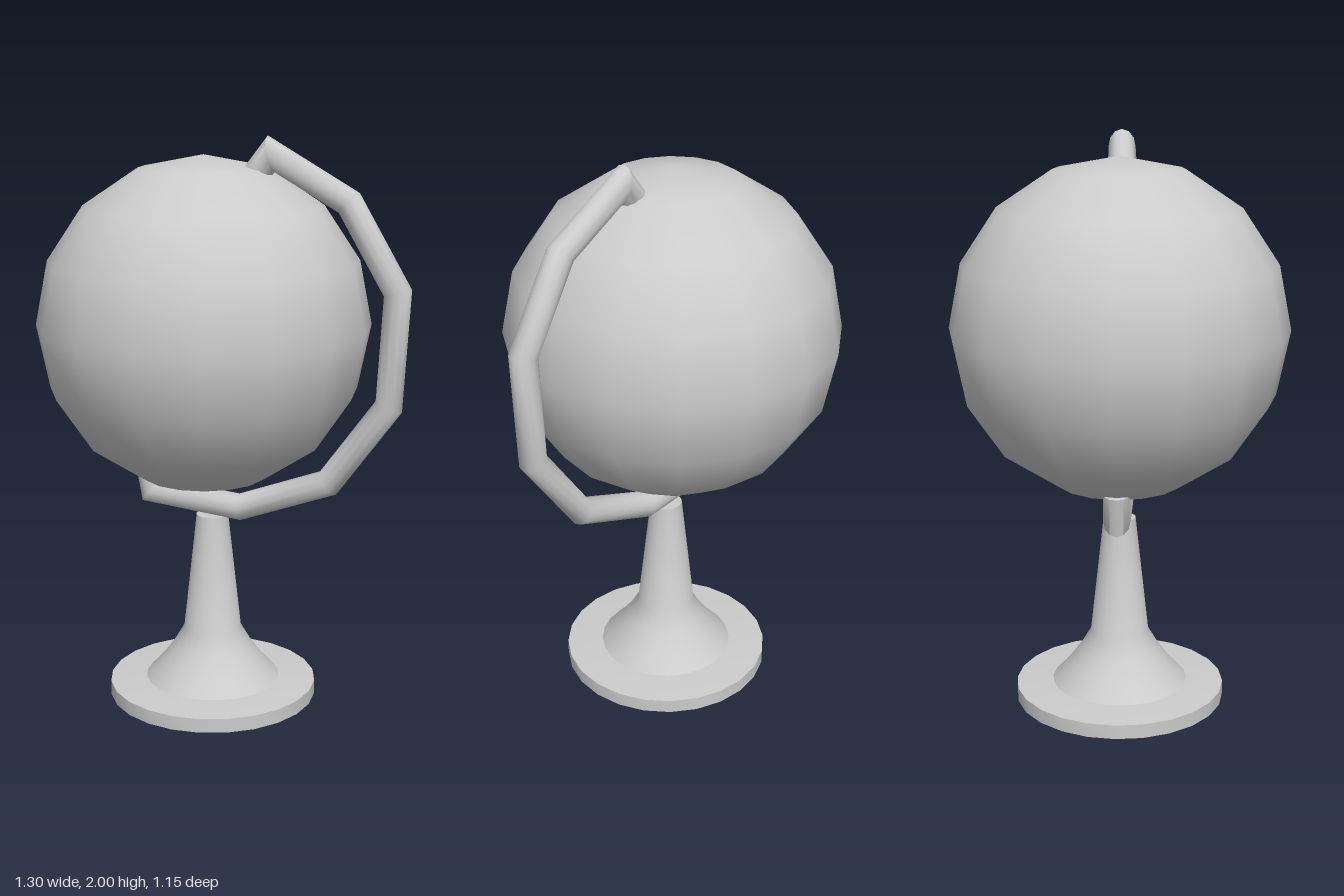
import * as THREE from 'three';
import { toCreasedNormals } from 'three/addons/utils/BufferGeometryUtils.js';

const V = (x, y) => new THREE.Vector2(x, y);

// Round bar with mitred corners along a polyline in the xy plane
function mitredBar(path, radius, sides) {
  const dirs = path.slice(1).map((p, i) => p.clone().sub(path[i]).normalize());
  const left = (d) => V(-d.y, d.x);
  const pos = [], index = [];
  path.forEach((p, i) => {
    const a = left(dirs[Math.max(i - 1, 0)]);
    const b = left(dirs[Math.min(i, dirs.length - 1)]);
    const miter = a.clone().add(b).divideScalar(1 + a.dot(b));
    for (let j = 0; j < sides; j++) {
      const t = (j / sides) * Math.PI * 2;
      const c = Math.cos(t) * radius;
      pos.push(p.x + miter.x * c, p.y + miter.y * c, Math.sin(t) * radius);
    }
  });
  const last = path.length - 1;
  const startCap = pos.length / 3, endCap = startCap + 1;
  pos.push(path[0].x, path[0].y, 0, path[last].x, path[last].y, 0);
  for (let j = 0; j < sides; j++) {
    const k = (j + 1) % sides;
    for (let i = 0; i < last; i++) {
      const r = i * sides, s = r + sides;
      index.push(r + j, r + k, s + j, r + k, s + k, s + j);
    }
    index.push(startCap, k, j, endCap, last * sides + j, last * sides + k);
  }
  const g = new THREE.BufferGeometry();
  g.setAttribute('position', new THREE.Float32BufferAttribute(pos, 3));
  g.setIndex(index);
  return toCreasedNormals(g, 0.9);
}

export function createModel() {
  const model = new THREE.Group();
  model.name = 'deskGlobe';
  const material = new THREE.MeshStandardMaterial({ color: 0xcccccc });
  const add = (name, geometry, x = 0, y = 0) => {
    const mesh = new THREE.Mesh(geometry, material);
    mesh.name = name;
    mesh.position.set(x, y, 0);
    model.add(mesh);
  };
  const lathe = (points) => toCreasedNormals(new THREE.LatheGeometry(points, 24), 0.6);

  // Ball
  add('ball', new THREE.SphereGeometry(0.574, 16, 8), -0.08, 1.36);

  // Bracket arm with a short pin at each end
  add('arm', mitredBar([
    V(0.106, 1.873), V(0.16, 1.942), V(0.43, 1.793), V(0.6, 1.51), V(0.58, 1.13),
    V(0.375, 0.845), V(0.055, 0.722), V(-0.276, 0.748), V(-0.295, 0.85),
  ], 0.046, 12));

  // Base disc, slightly domed on both faces
  add('baseDisc', lathe([V(0, 0.005), V(0.368, 0.02), V(0.368, 0.07), V(0.24, 0.08), V(0, 0.08)]), -0.05);

  // Flared stem
  add('stem', lathe([
    V(0.24, 0.078), V(0.185, 0.138), V(0.14, 0.2), V(0.102, 0.265), V(0.056, 0.685), V(0, 0.685),
  ]), -0.05);

  return model;
}
